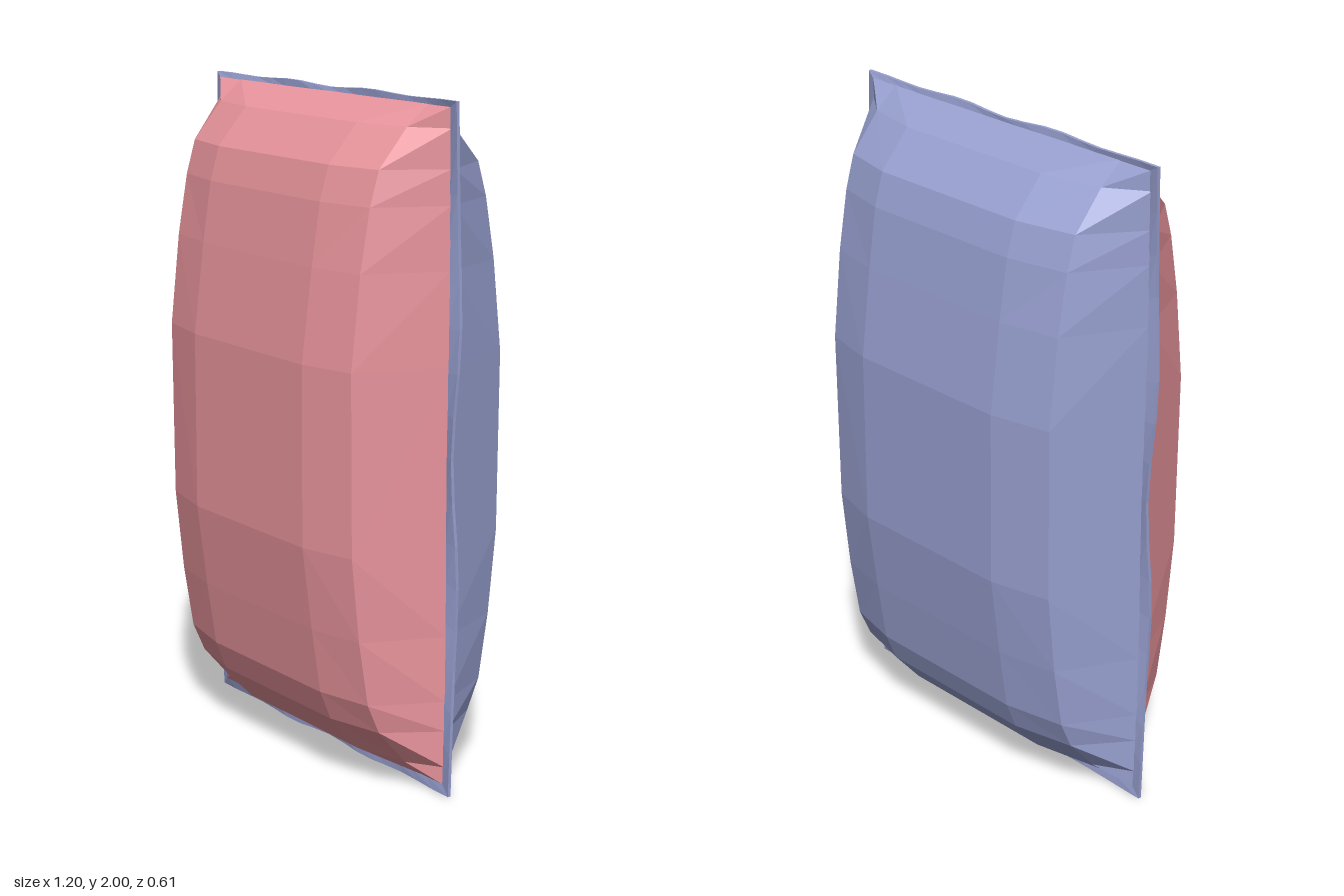
import * as THREE from 'three';

// Cushion columns (x) and rows: [y, depth in the middle, depth at the shoulder columns]
const COLS = [-0.565, -0.45, -0.26, 0.285, 0.46, 0.562];
const ROWS = [
  [0.03, 0, 0], [0.085, 0.11, 0.065], [0.195, 0.203, 0.16], [0.285, 0.24, 0.2],
  [0.48, 0.27, 0.232], [0.73, 0.302, 0.258], [1.26, 0.302, 0.262], [1.53, 0.268, 0.232],
  [1.71, 0.24, 0.2], [1.81, 0.21, 0.17], [1.92, 0.113, 0.075], [1.98, 0, 0],
];

function gridGeometry(points, indices) {
  const geometry = new THREE.BufferGeometry();
  geometry.setAttribute('position', new THREE.Float32BufferAttribute(points, 3));
  geometry.setIndex(indices);
  geometry.computeVertexNormals();
  return geometry;
}

// One bulging half of the cushion; side is +1 for the front, -1 for the back
function cushionHalf(side) {
  const points = [], indices = [], n = COLS.length;
  ROWS.forEach(([y, middle, shoulder], r) => {
    COLS.forEach((x, c) => {
      const depth = [0, shoulder, middle, middle, shoulder, 0][c];
      points.push(x, y, side * (depth + 0.004));
      if (r === 0 || c === 0) return;
      const d = r * n + c, a = d - n - 1, b = d - n, e = d - 1;
      // Split cells so the corner creases run from the corner inwards
      const rising = (r < ROWS.length / 2) === (c < n / 2);
      const tris = rising ? [[a, b, d], [a, d, e]] : [[a, b, e], [b, d, e]];
      for (const [i, j, k] of tris) indices.push(...(side > 0 ? [i, j, k] : [i, k, j]));
    });
  });
  return gridGeometry(points, indices);
}

// Thin wavy flange sewn around the rim, swept as a flat four-point section
function seamGeometry() {
  const points = [], indices = [], steps = 16;
  const corners = [[-1, -1], [1, -1], [1, 1], [-1, 1]];
  corners.forEach(([sx, sy], k) => {
    const [ex, ey] = corners[(k + 1) % 4];
    for (let i = 0; i < steps; i++) {
      const t = i / steps;
      const u = sx + (ex - sx) * t, v = sy + (ey - sy) * t;
      const ripple = Math.sin(t * Math.PI) * Math.cos(t * Math.PI * 6);
      const upright = k % 2 === 1;
      const ox = u * 0.59 + (upright ? u * 0.008 * (ripple + Math.sin(t * Math.PI) * 0.3) : 0);
      const oy = 1 + v * 0.995 + (upright ? 0 : v * 0.005 * ripple);
      const oz = upright ? u * 0.008 * Math.cos(t * Math.PI * 4) : 0.003 * ripple + u * 0.008 * Math.abs(u);
      const ix = u * 0.555, iy = 1.005 + v * 0.97;
      points.push(ix, iy, 0.007, ox, oy, oz + 0.005, ox, oy, oz - 0.005, ix, iy, -0.007);
    }
  });
  const total = steps * 4;
  for (let i = 0; i < total; i++) {
    for (let j = 0; j < 4; j++) {
      const a = i * 4 + j, b = i * 4 + ((j + 1) % 4);
      const c = ((i + 1) % total) * 4 + j, d = ((i + 1) % total) * 4 + ((j + 1) % 4);
      indices.push(a, b, d, a, d, c);
    }
  }
  return gridGeometry(points, indices);
}

export function createModel() {
  const group = new THREE.Group();
  group.name = 'cushion';
  const fabric = (color) => new THREE.MeshStandardMaterial({ color, flatShading: true, side: THREE.DoubleSide });
  const pink = fabric(0xe8949c), blue = fabric(0x98a0d0);
  const add = (name, geometry, material) => {
    const mesh = new THREE.Mesh(geometry, material);
    mesh.name = name;
    group.add(mesh);
  };
  add('frontCover', cushionHalf(1), pink);
  add('backCover', cushionHalf(-1), blue);
  add('seamFlange', seamGeometry(), blue);
  return group;
}
